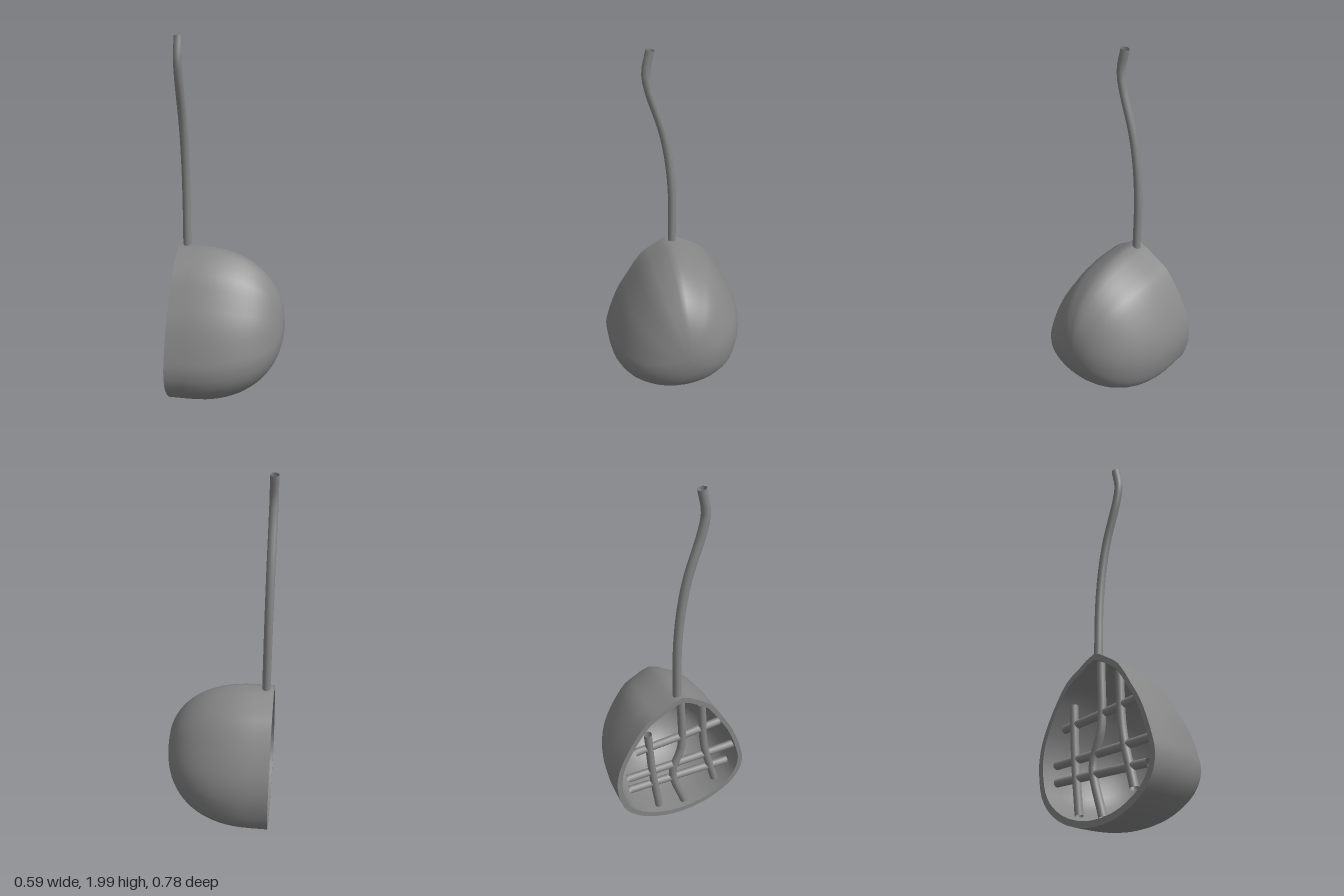
import * as THREE from 'three';

const material = new THREE.MeshStandardMaterial({ color: 0x868686, side: THREE.DoubleSide });
const RIM_X = -0.298, CENTER_Y = 0.43, WALL = 0.03;

// Outline of the open side as [z, y], from the peak round the front and back
const outlinePoints = [
  [-0.01, 0.873], [0.075, 0.832], [0.16, 0.772], [0.242, 0.65], [0.298, 0.56], [0.338, 0.47],
  [0.378, 0.35], [0.39, 0.29], [0.38, 0.205], [0.33, 0.125], [0.24, 0.06], [0.138, 0.02],
  [0, 0.005], [-0.11, 0.02], [-0.217, 0.06], [-0.307, 0.127], [-0.357, 0.2], [-0.382, 0.295],
  [-0.39, 0.38], [-0.375, 0.48], [-0.333, 0.58], [-0.275, 0.68], [-0.206, 0.77], [-0.116, 0.822],
];
const outlineCurve = new THREE.CatmullRomCurve3(
  outlinePoints.map(([z, y]) => new THREE.Vector3(0, y, z)), true);
const outline = outlineCurve.getPoints(48).slice(0, -1);

// Joins scaled copies of the outline; each section is [x, scale]
function loft(sections) {
  const n = outline.length, pos = [], idx = [];
  for (const [x, k] of sections)
    for (const p of outline) pos.push(x, CENTER_Y + (p.y - CENTER_Y) * k, p.z * k);
  for (let i = 0; i < sections.length - 1; i++) {
    for (let j = 0; j < n; j++) {
      const a = i * n + j, b = i * n + (j + 1) % n;
      idx.push(a, a + n, b + n, a, b + n, b);
    }
  }
  const g = new THREE.BufferGeometry();
  g.setAttribute('position', new THREE.Float32BufferAttribute(pos, 3));
  g.setIndex(idx);
  g.computeVertexNormals();
  return g;
}

// Full, rounded dome sections from the tip back to the rim
function dome(depth, size) {
  const sections = [], power = 0.89;
  for (let i = 0; i <= 20; i++) {
    const t = THREE.MathUtils.clamp(i / 20, 0.002, 0.9999) * Math.PI / 2;
    sections.push([-0.2 + depth * Math.cos(t) ** power, size * Math.sin(t) ** power]);
  }
  sections.push([RIM_X, size]);
  return sections;
}

// Round rod through [z, y] points at a fixed x
function rod(name, x, points, radius) {
  const curve = new THREE.CatmullRomCurve3(points.map(([z, y]) => new THREE.Vector3(x, y, z)));
  const mesh = new THREE.Mesh(new THREE.TubeGeometry(curve, points.length * 4, radius, 12), material);
  mesh.name = name;
  return mesh;
}

export function createModel() {
  const model = new THREE.Group();
  model.name = 'halfShellWithStem';

  // Hollow half shell: outer skin, flat rim and inner skin
  const shell = new THREE.Group();
  shell.name = 'shell';
  const inner = 1 - WALL / 0.4;
  const skins = {
    outerSkin: dome(0.495, 1),
    rim: [[RIM_X, 1], [RIM_X, inner]],
    innerSkin: dome(0.495 - WALL, inner).reverse(),
  };
  for (const [name, sections] of Object.entries(skins)) {
    const mesh = new THREE.Mesh(loft(sections), material);
    mesh.name = name;
    shell.add(mesh);
  }
  model.add(shell);

  // Curved stem rising from the peak
  model.add(rod('stem', -0.256, [
    [-0.02, 0.84], [-0.022, 1.18], [-0.005, 1.39], [0.026, 1.56],
    [0.095, 1.79], [0.108, 1.88], [0.084, 1.995],
  ], 0.023));

  // Crossed rods across the opening
  const lattice = new THREE.Group();
  lattice.name = 'lattice';
  const uprights = [
    [[0, 0.84], [0.01, 0.48], [-0.04, 0.31], [0.035, 0.05]],
    [[-0.19, 0.65], [-0.165, 0.36], [-0.125, 0.08]],
    [[0.13, 0.75], [0.155, 0.44], [0.23, 0.155]],
  ];
  const crossbars = [
    [[-0.26, 0.54], [0, 0.56], [0.245, 0.585]],
    [[-0.31, 0.36], [0, 0.365], [0.345, 0.375]],
    [[-0.3, 0.27], [0, 0.265], [0.31, 0.26]],
  ];
  uprights.forEach((p) => lattice.add(rod('uprightRod', -0.256, p, 0.022)));
  crossbars.forEach((p) => lattice.add(rod('crossRod', -0.25, p, 0.022)));
  model.add(lattice);

  return model;
}
